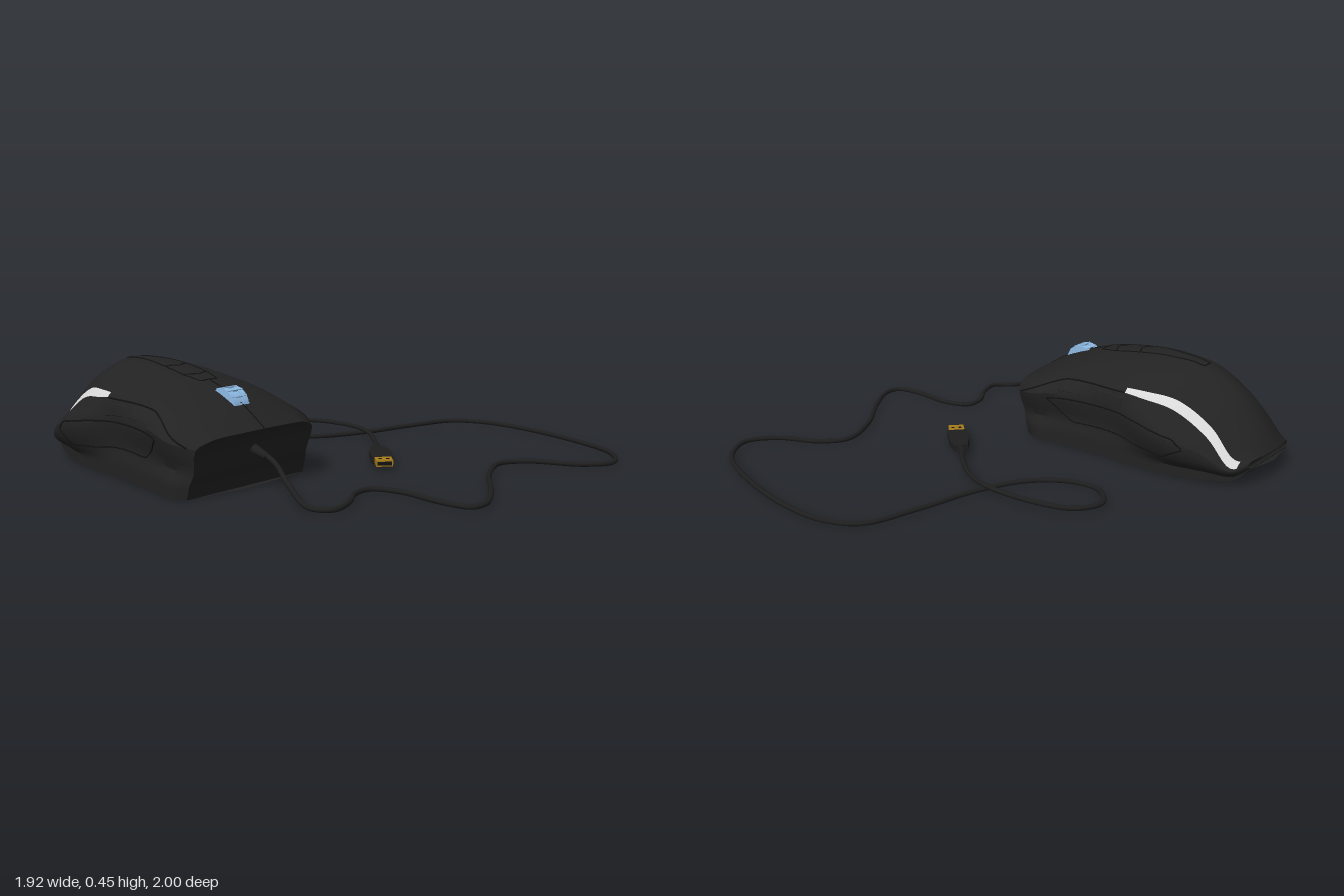
import * as THREE from 'three';
import { toCreasedNormals } from 'three/addons/utils/BufferGeometryUtils.js';

const mat = (name, color) => {
  const m = new THREE.MeshStandardMaterial({ color });
  m.name = name;
  return m;
};
const CX = -0.612; // centre line of the mouse

// Half cross-sections, front to back: z, top y, inner stripe edge x y, outer stripe edge x y,
// widest x y, waist x y, base x y
const STATIONS = [
  [0.212, 0.245, 0.21, 0.237, 0.25, 0.228, 0.30, 0.20, 0.29, 0.10, 0.30, 0],
  [0.08, 0.325, 0.23, 0.29, 0.28, 0.27, 0.346, 0.22, 0.312, 0.11, 0.33, 0],
  [-0.10, 0.392, 0.25, 0.335, 0.27, 0.32, 0.328, 0.25, 0.30, 0.12, 0.315, 0],
  [-0.37, 0.441, 0.27, 0.34, 0.285, 0.325, 0.30, 0.24, 0.285, 0.12, 0.292, 0],
  [-0.50, 0.446, 0.245, 0.337, 0.268, 0.31, 0.322, 0.22, 0.30, 0.10, 0.288, 0],
  [-0.64, 0.434, 0.212, 0.322, 0.244, 0.287, 0.336, 0.19, 0.31, 0.09, 0.28, 0.002],
  [-0.80, 0.36, 0.193, 0.235, 0.226, 0.198, 0.29, 0.15, 0.275, 0.08, 0.24, 0.01],
  [-0.92, 0.245, 0.195, 0.122, 0.225, 0.092, 0.235, 0.08, 0.22, 0.06, 0.20, 0.03],
  [-1.00, 0.13, 0.15, 0.118, 0.165, 0.108, 0.17, 0.10, 0.165, 0.09, 0.15, 0.08],
];
const SECTIONS = STATIONS.map(([z, top, x2, y2, x3, y3, x4, y4, x5, y5, xb, yb], i) => {
  const baseTop = yb + (y5 - yb) * 0.55;
  const pts = [[0, top], [x2 * 0.55, top - (top - y2) * 0.33], [x2, y2], [x3, y3], [x4, y4],
    [x5, y5], [xb, baseTop], [xb, yb], [0, yb]];
  const lean = [1, 0.3][i] ?? 0;
  return pts.map(([x, y]) => {
    let zz = z - lean * (0.035 * (x / 0.3) ** 2 + 0.07 * Math.max(0, 1 - y / 0.235));
    if (i === 8) zz += 0.03 * (x / 0.17) ** 2; // bowed tail
    return new THREE.Vector3(x, y, zz);
  });
});
const ROWS = SECTIONS[0].map((_, r) => new THREE.CatmullRomCurve3(SECTIONS.map((s) => s[r])));

// Point on the shell: u runs front to back (0..8), v from the ridge to the underside (0..8, sign = side)
function shellPoint(u, v) {
  const a = Math.abs(v);
  const p = ROWS.map((c) => c.getPoint(u / 8));
  let out;
  if (a >= 5) {
    const i = Math.min(7, Math.floor(a));
    out = p[i].clone().lerp(p[i + 1], a - i);
  } else {
    const m = p[1].clone();
    m.x *= -1;
    out = new THREE.CatmullRomCurve3([m, ...p]).getPoint((a + 1) / 9);
  }
  if (v < 0) out.x *= -1;
  return out;
}

function indexed(pos, index) {
  const g = new THREE.BufferGeometry();
  g.setAttribute('position', new THREE.Float32BufferAttribute(pos, 3));
  g.setIndex(index);
  return toCreasedNormals(g, 0.6);
}

function shellGeometries() {
  const SU = 6, SV = 3, NU = 8 * SU, M = 8 * SV, W = 2 * M + 1;
  const pos = [], body = [], stripe = [];
  for (let i = 0; i <= NU; i++)
    for (let c = -M; c <= M; c++) pos.push(...shellPoint(i / SU, c / SV).toArray());
  const id = (i, c) => i * W + c + M;
  for (let i = 0; i < NU; i++)
    for (let c = -M; c < M; c++) {
      const v = Math.abs((c + 0.5) / SV);
      const list = v > 2 && v < 3 && i >= 20 && i < 44 ? stripe : body;
      list.push(id(i, c), id(i, c + 1), id(i + 1, c), id(i, c + 1), id(i + 1, c + 1), id(i + 1, c));
    }
  // nose and tail caps
  for (let c = 0; c < M; c++) {
    for (const [i, f] of [[0, 1], [NU, -1]]) {
      const q = [id(i, c), id(i, -c), id(i, -c - 1), id(i, c + 1)];
      if (f < 0) q.reverse();
      body.push(q[0], q[1], q[2], q[0], q[2], q[3]);
    }
  }
  return { body: indexed(pos, body), stripe: indexed(pos, stripe) };
}

// Panel that swells gently out of the shell
function patchGeometry(u0, u1, v0, v1, side, height) {
  const N = 14, pos = [], index = [];
  for (let i = 0; i <= N; i++)
    for (let j = 0; j <= N; j++) {
      const p = shellPoint(u0 + (u1 - u0) * i / N, side * (v0 + (v1 - v0) * j / N));
      p.x += side * height * (Math.min(i, j, N - i, N - j) > 0 ? 1 : -0.3);
      pos.push(...p.toArray());
      if (i < N && j < N) {
        const a = i * (N + 1) + j, b = a + 1, c = a + N + 1, d = c + 1;
        index.push(...(side > 0 ? [a, b, c, b, d, c] : [a, c, b, b, c, d]));
      }
    }
  return indexed(pos, index);
}

// Thin seam laid over the shell along straight runs in (u, v)
function seamGeometry(uv, side = 1, radius = 0.0035) {
  const pts = [];
  for (let i = 0; i < uv.length - 1; i++)
    for (let k = 0; k < 8; k++) {
      const t = k / 8;
      pts.push(shellPoint(uv[i][0] + (uv[i + 1][0] - uv[i][0]) * t,
        side * (uv[i][1] + (uv[i + 1][1] - uv[i][1]) * t)));
    }
  const end = uv[uv.length - 1];
  pts.push(shellPoint(end[0], side * end[1]));
  return new THREE.TubeGeometry(new THREE.CatmullRomCurve3(pts), pts.length * 2, radius, 5);
}

export function createModel() {
  const black = mat('black shell', 0x222222);
  const dark = mat('dark seam', 0x121212);
  const cableBlack = mat('cable black', 0x1e1e1e);
  const silver = mat('light stripe', 0xd9d9d9);
  const blue = mat('wheel blue', 0x8fbce6);
  const gold = mat('connector gold', 0xa67c1a);

  const model = new THREE.Group();
  const add = (parent, name, geo, m, x = 0, y = 0, z = 0) => {
    const mesh = new THREE.Mesh(geo, m);
    mesh.name = name;
    mesh.position.set(x, y, z);
    parent.add(mesh);
    return mesh;
  };

  // Mouse shell, stripes, side panels and seams
  const mouse = new THREE.Group();
  mouse.name = 'mouse';
  mouse.position.x = CX;
  model.add(mouse);
  const shell = shellGeometries();
  add(mouse, 'shell', shell.body, black);
  add(mouse, 'sideStripes', shell.stripe, silver);
  for (const s of [1, -1]) {
    add(mouse, 'thumbButtonFront', patchGeometry(1.9, 2.55, 3.3, 3.85, s, 0.006), black);
    add(mouse, 'thumbButtonRear', patchGeometry(2.6, 3.3, 3.3, 3.85, s, 0.006), black);
    add(mouse, 'gripSeam', seamGeometry([[1.6, 4.2], [3.4, 4.05], [5.3, 3.9], [5.6, 4.2],
      [5, 4.9], [2.2, 5], [1.6, 4.2]], s), dark);
    add(mouse, 'shellSeam', seamGeometry([[0.3, 4], [1, 3.7], [2, 3.2], [3.3, 3]], s), dark);
    add(mouse, 'topPanelSeam', seamGeometry([[5.06, 0], [5.06, 0.2], [2.37, 0.4], [2.07, 0.3], [2.07, 0]], s, 0.003), dark);
    add(mouse, 'topButtonSeam', seamGeometry([[2.75, 0], [2.85, 0.35]], s, 0.003), dark);
    add(mouse, 'topButtonGap', seamGeometry([[2.3, 0], [2.4, 0.4]], s, 0.003), dark);
  }
  add(mouse, 'buttonSplit', seamGeometry([[0, 0], [2.05, 0]]), dark);

  // Scroll wheel with raised outer bands
  const wheel = new THREE.Group();
  wheel.name = 'scrollWheel';
  wheel.position.set(-0.003, 0.307, 0.012);
  mouse.add(wheel);
  for (const [x, r, w] of [[-0.026, 0.074, 0.024], [0, 0.069, 0.03], [0.026, 0.074, 0.024]])
    add(wheel, 'wheelBand', new THREE.CylinderGeometry(r, r, w, 32).rotateZ(Math.PI / 2), blue, x);
  for (let i = 0; i < 14; i++) {
    const a = i / 14 * Math.PI * 2;
    const rib = add(wheel, 'wheelRib', new THREE.BoxGeometry(0.074, 0.008, 0.008), blue,
      0, Math.cos(a) * 0.073, Math.sin(a) * 0.073);
    rib.rotation.x = a;
  }

  // Cable: x, z and, where it leaves the desk, y
  const path = [[-0.613, 0.15, 0.15], [-0.613, 0.2, 0.147], [-0.62, 0.28, 0.12], [-0.68, 0.42, 0.07],
    [-0.71, 0.55, 0.022], [-0.655, 0.625], [-0.55, 0.6], [-0.445, 0.535], [-0.36, 0.535],
    [-0.312, 0.635], [-0.312, 0.85], [-0.285, 0.955], [-0.22, 0.97], [-0.074, 0.89], [0.14, 0.725],
    [0.32, 0.655], [0.43, 0.725], [0.535, 0.91], [0.655, 0.985], [0.8, 0.89], [0.905, 0.61],
    [0.95, 0.29], [0.93, 0.105], [0.85, -0.025], [0.615, -0.1], [0.35, -0.16], [0.14, -0.255],
    [0.02, -0.4], [0.005, -0.53], [0.11, -0.628, 0.025], [0.233, -0.58, 0.032], [0.31, -0.42, 0.042],
    [0.328, -0.21, 0.045], [0.285, -0.07, 0.042], [0.14, 0.115, 0.032], [0.1, 0.16, 0.032]];
  const curve = new THREE.CatmullRomCurve3(path.map(([x, z, y = 0.018]) => new THREE.Vector3(x, y, z)));
  add(model, 'cable', new THREE.TubeGeometry(curve, 360, 0.0105, 10), cableBlack);
  const relief = add(model, 'cableRelief', new THREE.CylinderGeometry(0.014, 0.022, 0.09, 16), cableBlack, -0.613, 0.148, 0.18);
  relief.rotation.x = Math.PI / 2 + 0.25;

  // Plug, pointing along its own +z
  const plug = new THREE.Group();
  plug.name = 'plug';
  plug.position.set(-0.026, 0.032, 0.297);
  plug.rotation.y = Math.atan2(-0.656, 0.755);
  model.add(plug);
  const outline = new THREE.Shape();
  [[-0.042, 0], [0.042, 0], [0.042, 0.1], [0.028, 0.165], [-0.028, 0.165], [-0.042, 0.1]]
    .forEach(([x, y], i) => (i ? outline.lineTo(x, y) : outline.moveTo(x, y)));
  const body = new THREE.ExtrudeGeometry(outline, { depth: 0.026, bevelSize: 0.004, bevelThickness: 0.005, bevelSegments: 2 });
  body.translate(0, 0, -0.013).rotateX(-Math.PI / 2);
  add(plug, 'plugBody', body, cableBlack);
  for (let i = 0; i < 3; i++)
    add(plug, 'plugBootRing', new THREE.CylinderGeometry(0.02 - i * 0.002, 0.02 - i * 0.002, 0.014, 16)
      .rotateX(Math.PI / 2), cableBlack, 0, 0, -0.18 - i * 0.022);
  add(plug, 'plugBoot', new THREE.CylinderGeometry(0.018, 0.013, 0.08, 16).rotateX(Math.PI / 2), cableBlack, 0, 0, -0.2);
  add(plug, 'connector', new THREE.BoxGeometry(0.07, 0.026, 0.07), gold, 0, 0, 0.035);
  for (const x of [-0.016, 0.016])
    for (const y of [-0.013, 0.013])
      add(plug, 'connectorHole', new THREE.BoxGeometry(0.013, 0.003, 0.013), dark, x, y, 0.038);
  add(plug, 'connectorMouth', new THREE.BoxGeometry(0.06, 0.016, 0.002), dark, 0, 0, 0.07);
  return model;
}
